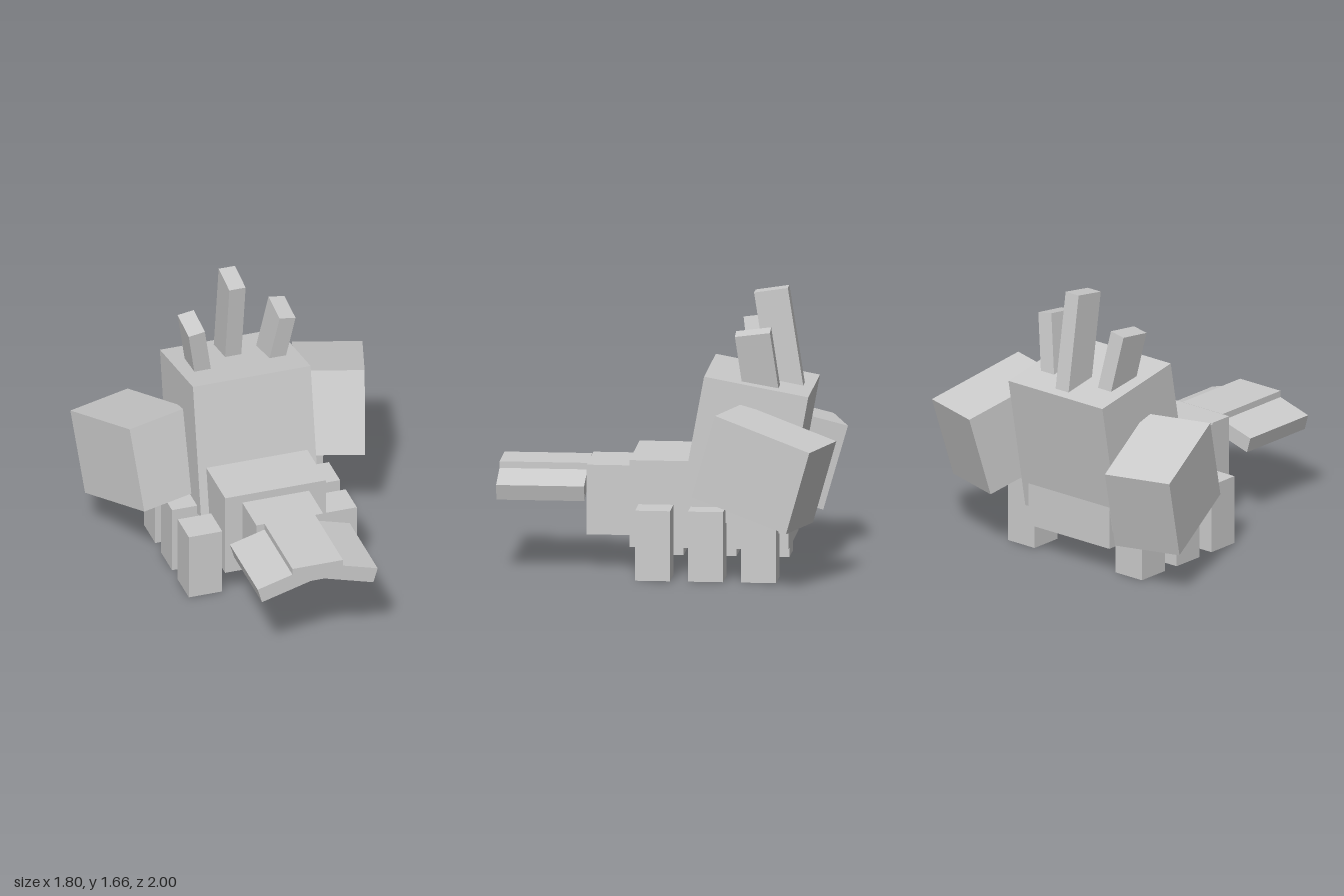
import * as THREE from 'three';

const material = new THREE.MeshStandardMaterial({ color: 0xcccccc, flatShading: true });

export function createModel() {
  const model = new THREE.Group();
  const cx = -0.007; // mid-plane of the figure

  // One block: size, centre (x measured from the mid-plane), rotation
  function block(name, size, [x, y, z], rotation = [0, 0, 0], order = 'XYZ') {
    const mesh = new THREE.Mesh(new THREE.BoxGeometry(...size), material);
    mesh.name = name;
    mesh.position.set(cx + x, y, z);
    mesh.rotation.set(...rotation, order);
    model.add(mesh);
  }

  // Low body and the narrower section in front of it
  block('body', [0.62, 0.515, 0.93], [0, 0.4175, -0.24]);
  block('frontSegment', [0.41, 0.413, 0.31], [0, 0.4175, 0.33]);

  // Flat fan: middle plate with a sloping plate on each side
  block('fanCentre', [0.31, 0.105, 0.515], [0, 0.5725, 0.7425]);

  // Upright torso leaning back
  block('torso', [0.722, 0.827, 0.62], [0, 0.7245, -0.4465], [-0.182, 0, 0]);

  // Middle spike leaning forward
  block('middleSpike', [0.1, 0.62, 0.2], [0, 1.341, -0.626], [0.155, 0, 0]);

  for (const s of [-1, 1]) {
    const side = s > 0 ? 'left' : 'right';

    block(side + 'FanPlate', [0.31, 0.095, 0.515], [s * 0.206, 0.522, 0.7425], [0, 0, -s * 0.281]);

    block(side + 'Spike', [0.1, 0.39, 0.207], [s * 0.246, 1.25, -0.52], [0.13, 0, -s * 0.168]);

    // Heavy arms, the left one held higher and slightly further back
    const armY = s > 0 ? 0.69 : 0.59;
    const armZ = s > 0 ? -0.59 : -0.561;
    block(side + 'Arm', [0.41, 0.513, 0.62], [s * 0.596, armY, armZ], [-0.291, -s * 0.299, 0], 'YXZ');

    // Three legs per side
    [0.07, -0.24, -0.55].forEach((z, i) => {
      block(side + 'Leg' + (i + 1), [0.205, 0.415, 0.205], [s * 0.413, 0.2075, z]);
    });
  }

  return model;
}
